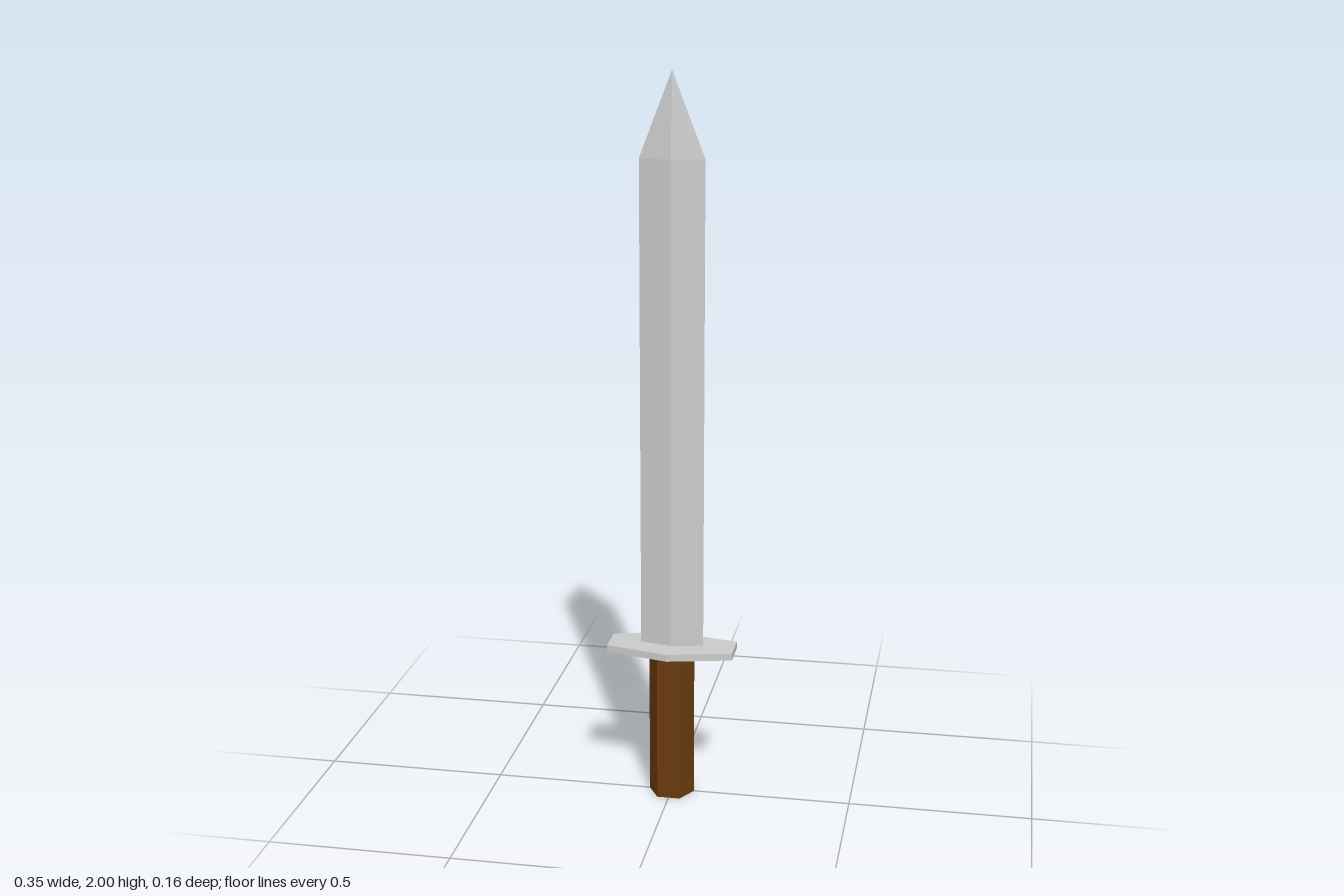
import * as THREE from 'three';

export function createModel() {
  const sword = new THREE.Group();
  sword.name = 'sword';
  const steel = new THREE.MeshStandardMaterial({ color: 0xcccccc, flatShading: true });
  const wood = new THREE.MeshStandardMaterial({ color: 0x693b0e, flatShading: true });

  const add = (name, geometry, material) => {
    const flat = geometry.toNonIndexed();
    flat.computeVertexNormals();
    const mesh = new THREE.Mesh(flat, material);
    mesh.name = name;
    sword.add(mesh);
  };

  // Grip: hexagonal prism with corners on the x axis
  const gripGeo = new THREE.CylinderGeometry(0.063, 0.063, 0.42, 6);
  gripGeo.rotateY(Math.PI / 2).translate(0, 0.21, 0);
  add('grip', gripGeo, wood);

  // Guard: flat plate, pointed front and back, with blunt ends
  const outline = [
    [-0.174, -0.04], [0, -0.081], [0.174, -0.04],
    [0.174, 0.048], [0, 0.083], [-0.174, 0.048],
  ].map(([x, y]) => new THREE.Vector2(x, y));
  const guardGeo = new THREE.ExtrudeGeometry(new THREE.Shape(outline), { depth: 0.02, bevelEnabled: false });
  guardGeo.rotateX(-Math.PI / 2).translate(0, 0.42, 0);
  add('guard', guardGeo, steel);

  // Blade: diamond section running straight, then tapering to the tip
  const profile = [[0, 0.43], [1, 0.43], [1, 1.775], [0, 2]].map(([r, y]) => new THREE.Vector2(r, y));
  const bladeGeo = new THREE.LatheGeometry(profile, 4);
  bladeGeo.scale(0.087, 1, 0.019).translate(0, 0, -0.003);
  add('blade', bladeGeo, steel);

  return sword;
}
